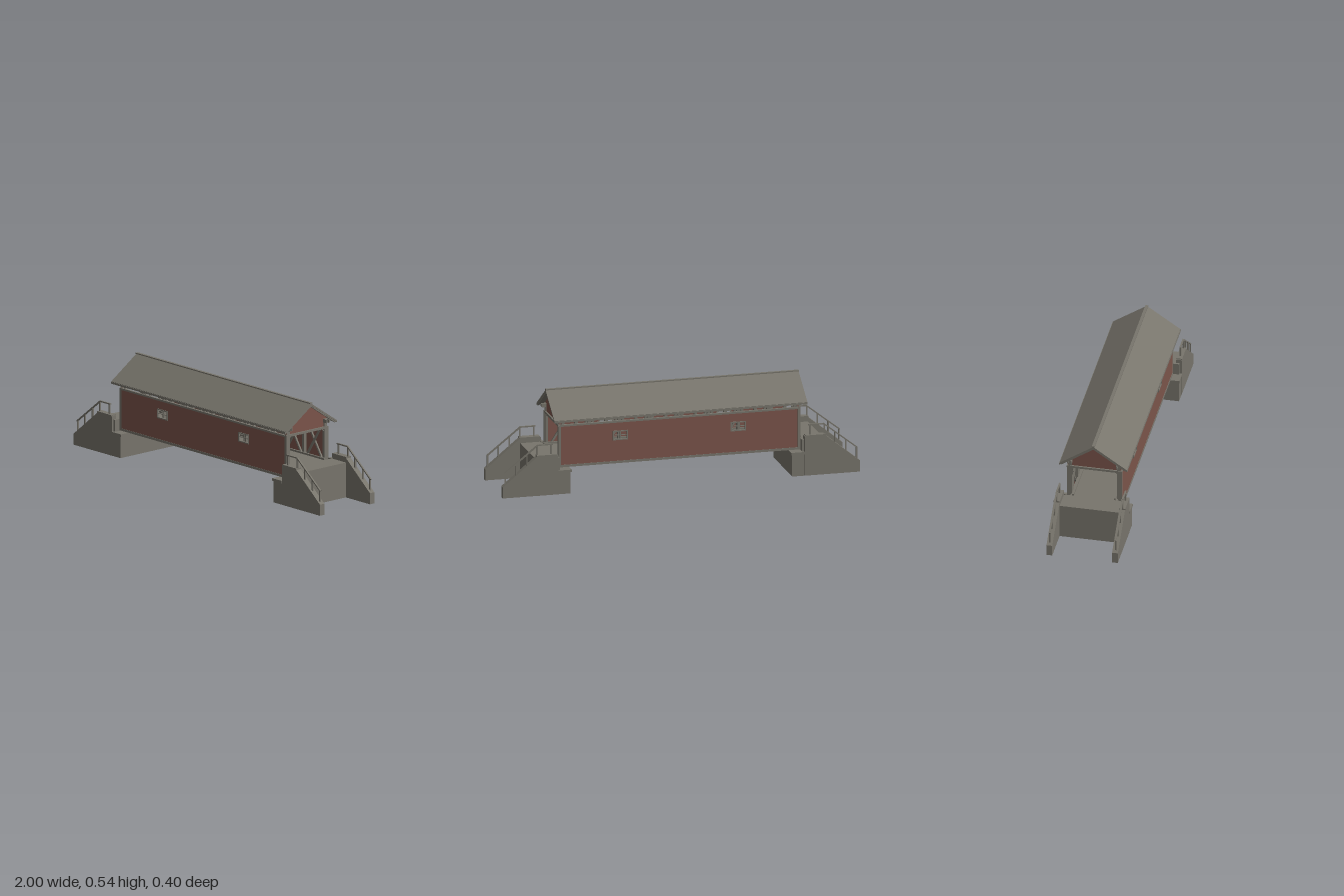
import * as THREE from 'three';

const grey = new THREE.MeshStandardMaterial({ color: 0x78756c });
grey.name = 'weathered grey';
const red = new THREE.MeshStandardMaterial({ color: 0x7c554b });
red.name = 'barn red';

function add(parent, name, geometry, material = grey) {
  const mesh = new THREE.Mesh(geometry, material);
  mesh.name = name;
  parent.add(mesh);
  return mesh;
}

// Box given by its extents on each axis
function box(parent, name, x0, x1, y0, y1, z0, z1, material = grey) {
  const mesh = add(parent, name, new THREE.BoxGeometry(x1 - x0, y1 - y0, z1 - z0), material);
  mesh.position.set((x0 + x1) / 2, (y0 + y1) / 2, (z0 + z1) / 2);
  return mesh;
}

// Square timber between two points
function beam(parent, name, a, b, w, h = w) {
  const from = new THREE.Vector3(...a), to = new THREE.Vector3(...b);
  const mesh = add(parent, name, new THREE.BoxGeometry(w, h, from.distanceTo(to)));
  mesh.position.copy(from).add(to).multiplyScalar(0.5);
  mesh.lookAt(to);
  return mesh;
}

const outline = (pts) => new THREE.Shape(pts.map((p) => new THREE.Vector2(...p)));

// [x, y] outline extruded from z0 to z1
function prismZ(shape, z0, z1) {
  return new THREE.ExtrudeGeometry(shape, { depth: z1 - z0, bevelEnabled: false }).translate(0, 0, z0);
}

// [z, y] outline extruded from x0 to x1
function prismX(pts, x0, x1) {
  return new THREE.ExtrudeGeometry(outline(pts), { depth: x1 - x0, bevelEnabled: false })
    .rotateY(-Math.PI / 2).translate(x1, 0, 0);
}

function buildAbutment(s) {
  const g = new THREE.Group();
  g.name = s > 0 ? 'leftAbutment' : 'rightAbutment';
  const bx = (name, x0, x1, ...rest) =>
    box(g, name, Math.min(s * x0, s * x1), Math.max(s * x0, s * x1), ...rest);

  bx('backWall', 0.69, 0.805, 0, 0.195, -0.166, 0.166);
  bx('bridgeSeat', 0.62, 0.69, 0, 0.12, -0.196, 0.196);
  bx('seatCap', 0.614, 0.69, 0.12, 0.134, -0.199, 0.199);

  for (const side of [1, -1]) {
    const z0 = side > 0 ? 0.165 : -0.197, z1 = z0 + 0.032;
    // Wing wall: level by the bridge, then sloping down to the road
    bx('wingWallBlock', 0.69, 0.805, 0, 0.22, z0, z1);
    const slope = outline([[s * 0.805, 0], [s, 0], [s, 0.062], [s * 0.805, 0.22]]);
    add(g, 'wingWallSlope', prismZ(slope, z0, z1));
    bx('wingWallCoping', 0.695, 0.808, 0.218, 0.226, z0 - 0.001, z1 + 0.001);
    bx('cornerBlock', 0.678, 0.695, 0.134, 0.2, side > 0 ? 0.15 : -0.185, side > 0 ? 0.185 : -0.15);

    // Railing
    const z = side * 0.182;
    for (const [x, y0, y1] of [[0.983, 0.072, 0.136], [0.923, 0.12, 0.184],
      [0.862, 0.17, 0.231], [0.803, 0.215, 0.279], [0.725, 0.22, 0.279]]) {
      beam(g, 'railPost', [s * x, y0, z], [s * x, y1, z], 0.008);
    }
    beam(g, 'slopedRail', [s * 0.988, 0.133, z], [s * 0.8, 0.281, z], 0.009, 0.007);
    beam(g, 'levelRail', [s * 0.803, 0.281, z], [s * 0.716, 0.281, z], 0.009, 0.007);
  }
  return g;
}

const PANELS = 8, HALF = 0.667, STEP = (2 * HALF) / PANELS;

function buildSide(side) {
  const g = new THREE.Group();
  g.name = side > 0 ? 'frontSide' : 'backSide';
  const bz = (name, x0, x1, y0, y1, a, b, m) =>
    box(g, name, x0, x1, y0, y1, Math.min(side * a, side * b), Math.max(side * a, side * b), m);

  // Siding with two window openings
  const wall = outline([[-0.668, 0.148], [0.668, 0.148], [0.668, 0.366], [-0.668, 0.366]]);
  for (const x of [-0.33, 0.33]) {
    wall.holes.push(new THREE.Path([[-1, 0.27], [1, 0.27], [1, 0.317], [-1, 0.317]]
      .map(([k, y]) => new THREE.Vector2(x + k * 0.04, y))));
  }
  add(g, 'siding', prismZ(wall, side > 0 ? 0.145 : -0.15, side > 0 ? 0.15 : -0.145), red);
  bz('sillTrim', -0.677, 0.677, 0.137, 0.15, 0.122, 0.152);
  bz('topTrim', -0.677, 0.677, 0.365, 0.375, 0.14, 0.153);
  for (const s of [-1, 1]) {
    bz('cornerTrim', s * 0.67 - 0.007, s * 0.67 + 0.007, 0.14, 0.375, 0.143, 0.152);
    // Window frame and bars
    const x = s * 0.33;
    for (const k of [-1, 1]) {
      bz('windowJamb', x + k * 0.04 - 0.003, x + k * 0.04 + 0.003, 0.267, 0.32, 0.144, 0.154);
    }
    for (const y of [0.27, 0.317]) bz('windowRail', x - 0.043, x + 0.043, y - 0.003, y + 0.003, 0.144, 0.154);
    bz('windowMullion', x - 0.002, x + 0.002, 0.27, 0.317, 0.146, 0.151);
    bz('windowBar', x - 0.04, x + 0.04, 0.293, 0.296, 0.146, 0.151);
  }

  // Timber truss
  bz('topChord', -0.68, 0.68, 0.4, 0.42, 0.123, 0.147);
  for (let i = 0; i <= PANELS; i++) {
    const x = -HALF + i * STEP;
    bz('trussPost', x - 0.008, x + 0.008, 0.14, 0.42, 0.125, 0.144);
    if (i === PANELS) break;
    beam(g, 'trussBrace', [x, 0.408, side * 0.138], [x + STEP, 0.15, side * 0.138], 0.01);
    beam(g, 'trussBrace', [x, 0.15, side * 0.131], [x + STEP, 0.408, side * 0.131], 0.01);
  }
  bz('curb', -0.69, 0.69, 0.194, 0.205, 0.11, 0.12);
  return g;
}

function buildFloor() {
  const g = new THREE.Group();
  g.name = 'floor';
  box(g, 'deck', -0.692, 0.692, 0.181, 0.195, -0.13, 0.13);
  for (const z of [-0.075, -0.025, 0.025, 0.075]) {
    box(g, 'stringer', -0.685, 0.685, 0.166, 0.182, z - 0.005, z + 0.005);
  }
  for (let i = 0; i <= 2 * PANELS; i++) {
    const x = -HALF + (i * STEP) / 2;
    box(g, 'floorBeam', x - 0.006, x + 0.006, 0.15, 0.168, -0.145, 0.145);
  }
  // Sway bracing below the floor
  for (let i = 0; i < PANELS; i++) {
    const x = -HALF + i * STEP;
    for (const k of [-1, 1]) {
      beam(g, 'swayBrace', [x, 0.147, k * 0.13], [x + STEP, 0.147, -k * 0.13], 0.007);
    }
  }
  return g;
}

function buildRoof() {
  const g = new THREE.Group();
  g.name = 'roof';
  const RX = 0.708, ridge = 0.535, eave = 0.41, EZ = 0.185, t = 0.011;
  const topAt = (z) => ridge - ((ridge - eave) * z) / EZ;

  for (const s of [-1, 1]) {
    add(g, 'roofSlope', prismX([[0, ridge], [s * EZ, eave], [s * EZ, eave - t], [0, ridge - t]], -RX, RX));
    const e = s * EZ;
    box(g, 'eaveBoard', -RX, RX, eave - 0.012, eave - 0.002, e - 0.003, e + 0.003);
    for (let i = 0; i <= 2 * PANELS; i++) {
      const x = -0.7 + (i * 1.4) / (2 * PANELS);
      beam(g, 'rafter', [x, topAt(0) - 0.014, 0], [x, topAt(0.178) - 0.014, s * 0.178], 0.01, 0.008);
    }
    // Gable end with lintel and knee braces
    const x0 = s > 0 ? 0.663 : -0.669;
    add(g, 'gable', prismX([[-0.146, 0.376], [0.146, 0.376], [0.146, topAt(0.146) - t],
      [0, ridge - t], [-0.146, topAt(0.146) - t]], x0, x0 + 0.006), red);
    box(g, 'lintel', s * 0.669 - 0.009, s * 0.669 + 0.009, 0.365, 0.377, -0.15, 0.15);
    for (const k of [-1, 1]) {
      beam(g, 'kneeBrace', [s * 0.667, 0.352, k * 0.126], [s * 0.667, 0.367, k * 0.112], 0.006);
      for (const z of [0.126, 0.143]) {
        box(g, 'plateEnd', s * 0.68 - 0.015, s * 0.68 + 0.015, 0.4, 0.418, k * z - 0.004, k * z + 0.004);
      }
    }
  }
  box(g, 'ridgeBeam', -0.7, 0.7, 0.51, 0.526, -0.004, 0.004);
  box(g, 'ridgeCap', -RX, RX, 0.533, 0.539, -0.008, 0.008);
  for (let i = 1; i < PANELS; i++) {
    const x = -HALF + i * STEP;
    box(g, 'tieBeam', x - 0.006, x + 0.006, 0.366, 0.377, -0.14, 0.14);
  }
  return g;
}

export function createModel() {
  const model = new THREE.Group();
  model.name = 'coveredBridge';
  model.add(buildAbutment(1), buildAbutment(-1), buildSide(1), buildSide(-1), buildFloor(), buildRoof());
  return model;
}
